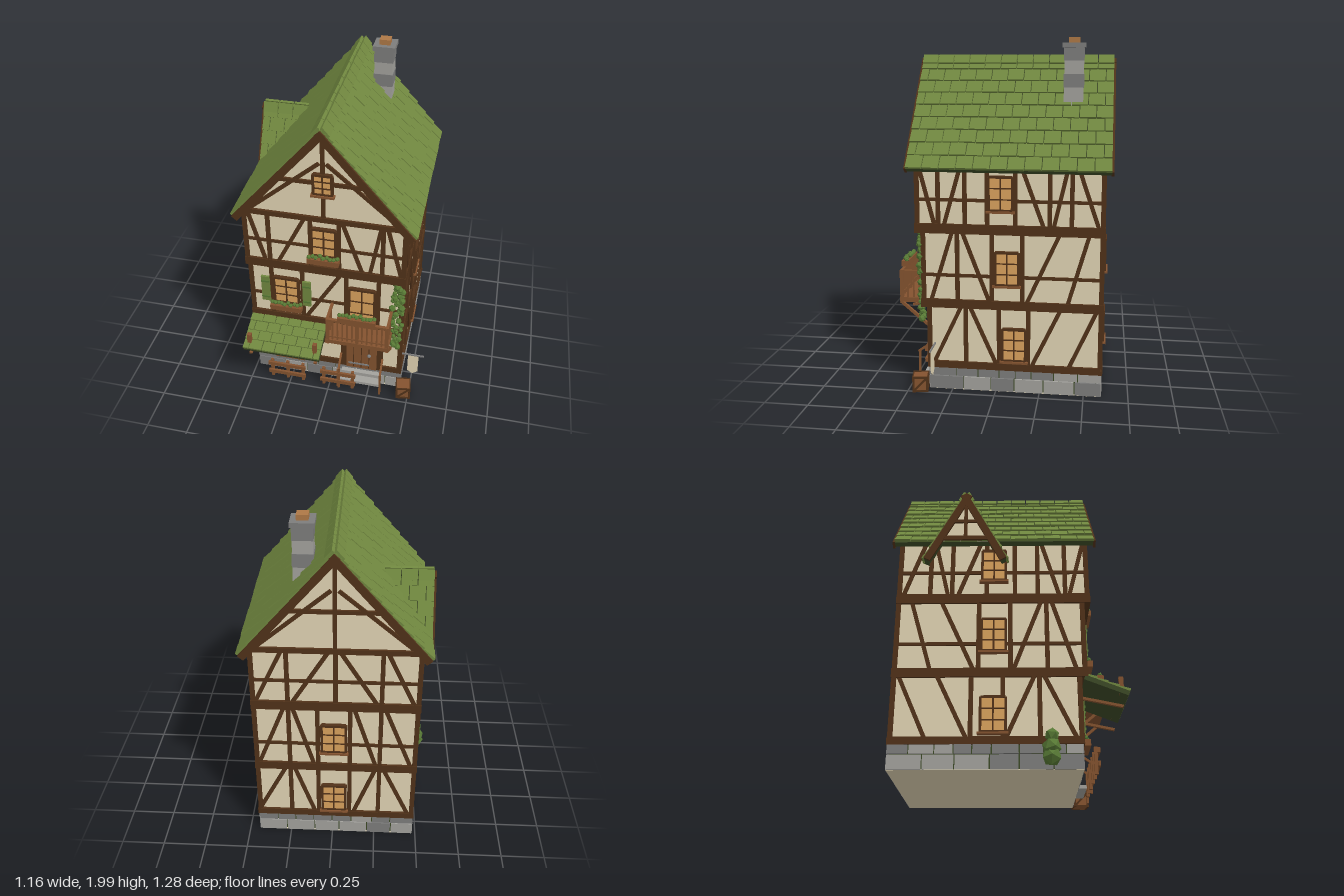
import * as THREE from 'three';
import { mergeGeometries } from 'three/addons/utils/BufferGeometryUtils.js';

const mat = (name, color) => Object.assign(new THREE.MeshStandardMaterial({ color }), { name });
const M = {
  plaster: mat('plaster', 0xe2d5b4), timber: mat('dark timber', 0x513219), tile: mat('green tile', 0x70873f),
  leaf: mat('leaf', 0x587a35), wood: mat('wood', 0x84532f), light: mat('light stone', 0xa3a29d),
  mid: mat('mid stone', 0x7d7d7c), shade: mat('mossy shade', 0x3d4a26), glow: mat('window amber', 0xdba35e),
  clay: mat('clay', 0xae7846),
};
let seed = 7;
const rnd = () => (seed = (seed * 16807) % 2147483647) / 2147483647;

// geometry helpers
const box = (w, h, d, x = 0, y = 0, z = 0, rz = 0) => new THREE.BoxGeometry(w, h, d).rotateZ(rz).translate(x, y, z);
const span = (x0, x1, y0, y1, z0, z1) => box(x1 - x0, y1 - y0, z1 - z0, (x0 + x1) / 2, (y0 + y1) / 2, (z0 + z1) / 2);
const bar = (x0, y0, x1, y1, w = 0.022, d = 0.012, z = d / 2) =>
  box(Math.hypot(x1 - x0, y1 - y0), w, d, (x0 + x1) / 2, (y0 + y1) / 2, z, Math.atan2(y1 - y0, x1 - x0));
// bar running from front to back at a given x
const depthBar = (x, z0, y0, z1, y1, w, d) => bar(-z0, y0, -z1, y1, w, d, x).rotateY(Math.PI / 2);
const blob = (r, x, y, z) => new THREE.IcosahedronGeometry(r, 0).rotateY(rnd() * 6).rotateX(rnd() * 6).translate(x, y, z);
function add(parent, name, material, geos) {
  const mesh = new THREE.Mesh(Array.isArray(geos) ? mergeGeometries(geos) : geos, material);
  mesh.name = name;
  parent.add(mesh);
}
function sub(parent, name, x = 0, y = 0, z = 0, ry = 0, rz = 0) {
  const g = new THREE.Group();
  g.name = name;
  g.position.set(x, y, z);
  g.rotation.set(0, ry, rz);
  parent.add(g);
  return g;
}
function prism(points, depth) {
  const s = new THREE.Shape(points.map(p => new THREE.Vector2(...p)));
  return new THREE.ExtrudeGeometry(s, { depth, bevelEnabled: false });
}
function arch(r, y0, y1, depth) {
  const s = new THREE.Shape();
  s.moveTo(-r, y0); s.lineTo(r, y0); s.lineTo(r, y1);
  s.absarc(0, y1, r, 0, Math.PI);
  s.lineTo(-r, y0);
  return new THREE.ExtrudeGeometry(s, { depth, bevelEnabled: false, curveSegments: 10 });
}

// one tiled slope: runs down local +x from the ridge, local y is its normal
function slope(parent, name, len, width, rows, cols, pos, ry, angle, gabled) {
  const g = sub(parent, name, ...pos, ry, -angle);
  const tiles = [], h = len / rows, w = width / cols;
  for (let r = 0; r < rows; r++)
    for (let c = 0; c <= cols; c++) {
      const z0 = -width / 2 + (c - (r % 2) / 2) * w;
      const a = Math.max(z0, -width / 2), b = Math.min(z0 + w, width / 2);
      if (b - a > 0.01) tiles.push(box(h * 1.04, 0.014, b - a - 0.005, (r + 0.5) * h, 0.003 + rnd() * 0.004, (a + b) / 2, 0.12));
    }
  if (gabled) {
    for (let c = 0; c < cols; c++)
      tiles.push(box(0.06, 0.014, w - 0.006, 0.022, 0.016, -width / 2 + (c + 0.5) * w));
    add(g, 'vergeBoards', M.timber, [-1, 1].map(s => box(len, 0.04, 0.014, len / 2, -0.017, s * (width / 2 + 0.002))));
  }
  add(g, 'tiles', M.tile, tiles);
  add(g, 'roofSlab', M.shade, box(len, 0.026, width - 0.004, len / 2, -0.013, 0));
}

// window on a wall face, local z points outward
function win(face, u, y, w, h, { shutters, planter } = {}) {
  const g = sub(face, 'window', u, y, 0), x = w / 2, t = h / 2;
  add(g, 'pane', M.glow, box(w, h, 0.006, 0, 0, 0.013));
  add(g, 'windowFrame', M.timber, [
    bar(-x, -t, -x, t, 0.014, 0.022), bar(x, -t, x, t, 0.014, 0.022), bar(-x, t, x, t, 0.014, 0.022),
    bar(-x, -t, x, -t, 0.014, 0.022), bar(0, -t, 0, t, 0.009, 0.02),
    ...[-1, 1].map(s => bar(-x, s * h / 6, x, s * h / 6, 0.007, 0.02))]);
  add(g, 'sill', M.wood, box(w + 0.03, 0.012, 0.032, 0, -t - 0.008, 0.014));
  if (shutters) for (const s of [-1, 1]) {
    add(g, 'shutter', M.tile, box(0.05, h, 0.014, s * (x + 0.052), 0, 0.017));
    add(g, 'shutterBattens', M.leaf, [-1, 1].map(k => box(0.05, 0.012, 0.008, s * (x + 0.052), k * h * 0.32, 0.024)));
  }
  if (planter) flowers(g, w + 0.045, -t - 0.022, 0.035);
}
function flowers(parent, w, y, z) {
  add(parent, 'planter', M.wood, box(w, 0.034, 0.04, 0, y, z));
  const n = Math.round(w / 0.02);
  add(parent, 'planterLeaves', M.leaf, Array.from({ length: n }, (_, i) =>
    blob(0.014, (i + 0.5) / n * w - w / 2, y + 0.02 + rnd() * 0.008, z + (rnd() - 0.5) * 0.02)));
}

// timber frame of one storey: end posts, posts, middle rail, braces
function frame(face, a, b, [y0, y1], posts, braces, rail) {
  const geos = [a + 0.012, b - 0.012, ...posts].map(u => bar(u, y0, u, y1, 0.024));
  braces.forEach(([u0, u1]) => geos.push(bar(u0, y0, u1, y1, 0.022, 0.01)));
  if (rail) geos.push(bar(a, rail, b, rail, 0.018, 0.009));
  add(face, 'timberFrame', M.timber, geos);
}

export function createModel() {
  const root = new THREE.Group();
  root.name = 'timberFramedHouse';
  const L = -0.47, R = 0.43, B = -0.59, C = -0.018;
  const levels = [[0.16, 0.52], [0.53, 0.95], [0.97, 1.32]], fronts = [0.38, 0.41, 0.44], rails = [0, 0.69, 1.12];

  // stone foundation with two courses of blocks
  add(root, 'foundationCore', M.shade, span(L, R, 0.014, 0.15, B, 0.375));
  add(root, 'floorSlab', M.plaster, span(L - 0.008, R + 0.008, 0.01, 0.014, B - 0.008, 0.383));
  const stones = [[], []];
  [[0.012, 0.088], [0.093, 0.14]].forEach(([y0, y1], row) => {
    const course = (a, b, put) => {
      for (let p = a; p < b - 0.01;) {
        let q = Math.min(b, p + (row ? 0.09 : 0.13) + rnd() * 0.05);
        if (b - q < 0.05) q = b;
        stones[rnd() < (row ? 0.7 : 0.35) ? 1 : 0].push(put(p + 0.003, q - 0.003));
        p = q;
      }
    };
    for (const z of [B, 0.375]) course(L - 0.01, R + 0.01, (p, q) => span(p, q, y0, y1, z - 0.011, z + 0.011));
    for (const x of [L, R]) course(B - 0.01, 0.385, (p, q) => span(x - 0.011, x + 0.011, y0, y1, p, q));
  });
  [M.light, M.mid].forEach((m, i) => add(root, 'foundationStones', m, stones[i]));

  // plaster storeys and floor beams
  levels.forEach(([y0, y1], i) => add(root, 'storeyWall', M.plaster, span(L, R, y0 - 0.02, y1, B, fronts[i])));
  add(root, 'floorBeams', M.timber, [[0.14, 0.18, 0.392], [0.5, 0.55, 0.425], [0.93, 0.985, 0.455], [1.3, 1.33, 0.455]]
    .map(([a, b, z]) => span(L - 0.014, R + 0.014, a, b, B - 0.014, z)));
  add(root, 'gableWall', M.plaster, prism([[L, 1.31], [R, 1.31], [C, 1.85]], 0.44 - B).translate(0, 0, B));

  // front and back framing
  const frontPosts = [[-0.345, -0.16, 0.075, 0.315], [-0.345, -0.16, 0.1, 0.29], [-0.335, -0.095, 0.065, 0.31]];
  const frontBraces = [[[-0.14, 0.06]], [[-0.15, 0.09]],
    [[-0.36, -0.45], [-0.29, -0.12], [0.2, 0.08], [0.24, 0.3], [0.42, 0.33]]];
  const backPosts = [[-0.24, -0.08, 0.1, 0.27], [-0.24, -0.08, 0.1, 0.27], [-0.24, 0.02, 0.27]];
  const backBraces = [[[-0.44, -0.26], [-0.1, -0.22], [0.12, 0.25], [0.45, 0.29]],
    [[-0.42, -0.26], [-0.1, -0.22], [0.25, 0.12], [0.45, 0.29]],
    [[-0.42, -0.26], [-0.22, -0.01], [0.25, 0.04], [0.45, 0.29]]];
  const front = [], back = [];
  levels.forEach((lv, i) => {
    front.push(sub(root, 'frontFace', 0, 0, fronts[i]));
    frame(front[i], L - 0.01, R + 0.01, lv, frontPosts[i], frontBraces[i], rails[i]);
    back.push(sub(root, 'backFace', 0, 0, B, Math.PI));
    frame(back[i], -R - 0.01, -L + 0.01, lv, backPosts[i], backBraces[i], rails[i]);
    if (i < 2) win(back[i], 0.01, [0.29, 0.735][i], 0.135, 0.185);
  });
  for (const [g, c] of [[front[2], C], [back[2], -C]])
    add(g, 'gableFrame', M.timber, [bar(c, 1.32, c, 1.84), bar(c - 0.25, 1.55, c + 0.25, 1.55, 0.022, 0.013),
      ...[-1, 1].flatMap(s => [bar(c + s * 0.41, 1.335, c + s * 0.02, 1.67, 0.02, 0.011),
        bar(c + s * 0.445, 1.31, c, 1.84, 0.03, 0.014)])]);
  win(front[0], -0.257, 0.3, 0.145, 0.185, { shutters: true, planter: true });
  win(front[1], -0.257, 0.738, 0.145, 0.185, { shutters: true, planter: true });
  win(front[1], 0.195, 0.69, 0.15, 0.27);
  win(front[2], C, 1.16, 0.135, 0.18, { planter: true });
  win(front[2], C, 1.545, 0.1, 0.12);

  // side framing, given in z and mirrored onto both sides
  const sidePosts = [[0.17, -0.02, -0.185], [0.215, 0.02, -0.15], [0.32, 0.17, 0.045, -0.11, -0.3, -0.42]];
  const sideBraces = [[[0.36, 0.19], [-0.01, 0.15], [-0.2, -0.37], [-0.41, -0.57]],
    [[0.37, 0.24], [0.03, 0.19], [-0.17, -0.36], [-0.4, -0.52]],
    [[0.34, 0.43], [0.29, 0.19], [-0.27, -0.14], [-0.32, -0.4], [-0.57, -0.45]]];
  for (const s of [-1, 1]) levels.forEach((lv, i) => {
    const face = sub(root, s < 0 ? 'leftSideFace' : 'rightSideFace', s < 0 ? R : L, 0, 0, -s * Math.PI / 2);
    const ends = [s * (B - 0.01), s * (fronts[i] + 0.01)].sort((p, q) => p - q);
    frame(face, ...ends, lv, sidePosts[i].map(z => s * z), sideBraces[i].map(b => b.map(z => s * z)), rails[i]);
    win(face, s * (s > 0 ? -0.07 : [-0.105, -0.065, -0.03][i]), [0.295, 0.738, 1.16][i], 0.13, 0.185);
  });

  // main roof, dormer roof and porch roof
  const pitch = Math.atan2(0.6, 0.51);
  for (const ry of [0, Math.PI])
    slope(root, 'mainRoofSlope', 0.775, 1.12, 9, 12, [C, 1.885, -0.071], ry, pitch, true);
  for (const s of [-1, 1])
    slope(root, 'dormerSlope', 0.48, 0.27, 6, 3, [-0.4, 1.605, -0.23], s * Math.PI / 2, Math.atan2(0.43, 0.23), true);
  const dormer = sub(root, 'dormerGable', -0.53, 0, -0.23, -Math.PI / 2);
  add(dormer, 'dormerWall', M.plaster, prism([[-0.135, 1.3], [0.135, 1.3], [0, 1.565]], 0.05).translate(0, 0, -0.05));
  add(dormer, 'dormerFrame', M.timber, [bar(0, 1.3, 0, 1.57, 0.02), bar(-0.13, 1.31, 0.13, 1.31, 0.024),
    bar(-0.08, 1.42, 0.08, 1.42, 0.018)]);
  slope(root, 'porchRoof', 0.242, 0.47, 4, 6, [-0.25, 0.508, 0.41], -Math.PI / 2, 0.38, false);
  for (const x of [-0.45, -0.05]) {
    add(root, 'porchPost', M.wood, span(x - 0.012, x + 0.012, 0.41, 0.505, 0.583, 0.607));
    add(root, 'porchBrace', M.wood, depthBar(x, 0.6, 0.345, 0.39, 0.39, 0.014, 0.018));
  }

  // chimney
  [[M.light, 1.58, 1.725, 0.108], [M.mid, 1.725, 1.8, 0.112], [M.light, 1.8, 1.872, 0.106], [M.mid, 1.872, 1.95, 0.11]]
    .forEach(([m, a, b, w]) => add(root, 'chimneyCourse', m, box(w, b - a, w, 0.15, (a + b) / 2, -0.407)));
  add(root, 'chimneyCap', M.mid, box(0.127, 0.026, 0.127, 0.15, 1.957, -0.407));
  add(root, 'chimneyPot', M.clay, box(0.062, 0.034, 0.062, 0.15, 1.983, -0.407));

  // arched door, step treads and handrails
  const door = sub(root, 'door', 0.195, 0, 0.38);
  add(door, 'doorFrame', M.timber, arch(0.113, 0.15, 0.375, 0.018));
  add(door, 'doorLeaf', M.wood, arch(0.095, 0.15, 0.375, 0.026));
  add(door, 'plankJoints', M.timber, [-0.048, 0, 0.048].map(x => box(0.005, 0.27, 0.004, x, 0.295, 0.027)));
  add(door, 'hinges', M.mid, [0.19, 0.355].map(y => box(0.13, 0.01, 0.006, -0.015, y, 0.029)));
  add(door, 'handle', M.mid, blob(0.013, 0.05, 0.28, 0.034));
  add(root, 'stepTreads', M.light, [span(0.07, 0.32, 0.09, 0.115, 0.37, 0.415), span(0.06, 0.32, 0.04, 0.06, 0.37, 0.44)]);
  for (const x of [0.065, 0.325])
    add(root, 'stepHandrail', M.wood, [depthBar(x, 0.475, 0.185, 0.39, 0.245, 0.012, 0.012),
      span(x - 0.006, x + 0.006, 0.012, 0.19, 0.462, 0.474)]);

  // balcony with balusters and flower box
  const by = 0.518, balcony = sub(root, 'balcony');
  add(balcony, 'balconyDeck', M.wood, span(0.007, 0.38, by - 0.014, by + 0.014, 0.4, 0.565));
  const rail = [span(0.01, 0.378, 0.676, 0.692, 0.545, 0.563), span(0.01, 0.378, 0.55, 0.56, 0.548, 0.56)];
  for (let i = 0; i <= 12; i++) rail.push(box(i % 6 ? 0.009 : 0.02, 0.16, i % 6 ? 0.009 : 0.02, 0.02 + i * 0.029, 0.605, 0.554));
  for (const x of [0.018, 0.37]) {
    rail.push(span(x - 0.008, x + 0.008, 0.676, 0.692, 0.41, 0.56));
    for (const z of [0.45, 0.485, 0.52]) rail.push(box(0.009, 0.16, 0.009, x, 0.605, z));
    add(balcony, 'balconyBrace', M.wood, depthBar(x, 0.56, 0.505, 0.39, 0.36, 0.016, 0.018));
  }
  add(balcony, 'railing', M.wood, rail);
  flowers(sub(balcony, 'railingFlowers', 0.19, 0, 0), 0.22, 0.708, 0.553);

  // fences in front of the house
  for (const [a, b] of [[-0.39, -0.15], [-0.055, 0.17]])
    add(root, 'fence', M.wood, [0.065, 0.135].map(y => span(a, b, y - 0.013, y + 0.013, 0.462, 0.476))
      .concat([a + 0.02, (a + b) / 2, b - 0.02].map(x => span(x - 0.009, x + 0.009, 0.012, 0.155, 0.445, 0.463))));

  // crate, hanging banner, bush and ivy
  const crate = sub(root, 'crate', 0.468, 0.058, 0.43, 0.15);
  add(crate, 'crateBody', M.wood, box(0.08, 0.084, 0.08));
  const slats = [];
  for (let i = 0; i < 4; i++) {
    slats.push(...[-1, 1].flatMap(s => [box(0.09, 0.012, 0.006, 0, s * 0.04, 0.042), box(0.012, 0.09, 0.006, s * 0.039, 0, 0.042)]),
      bar(-0.036, -0.036, 0.036, 0.036, 0.012, 0.005, 0.042));
    slats.forEach(s => s.rotateY(Math.PI / 2));
  }
  add(crate, 'crateSlats', M.timber, slats);
  add(root, 'bannerRod', M.mid, span(0.43, 0.576, 0.278, 0.287, 0.346, 0.354));
  add(root, 'banner', M.plaster, prism([[0.478, 0.278], [0.478, 0.145], [0.51, 0.122], [0.543, 0.145], [0.543, 0.278]], 0.006).translate(0, 0, 0.347));
  add(root, 'bush', M.leaf, [blob(0.052, -0.53, 0.064, 0.222), blob(0.05, -0.534, 0.11, 0.222), blob(0.038, -0.53, 0.17, 0.225)]);
  const ivy = [];
  for (let i = 0; i < 60; i++)
    ivy.push(blob(0.013 + rnd() * 0.01, 0.405 + (rnd() - 0.5) * 0.06, 0.42 + 0.52 * i / 60, 0.42 + rnd() * 0.015));
  for (let i = 0; i < 12; i++) ivy.push(blob(0.014, 0.035 + (rnd() - 0.5) * 0.05, 0.38 + i * 0.011, 0.42 + rnd() * 0.03));
  add(root, 'ivy', M.leaf, ivy);
  return root;
}
